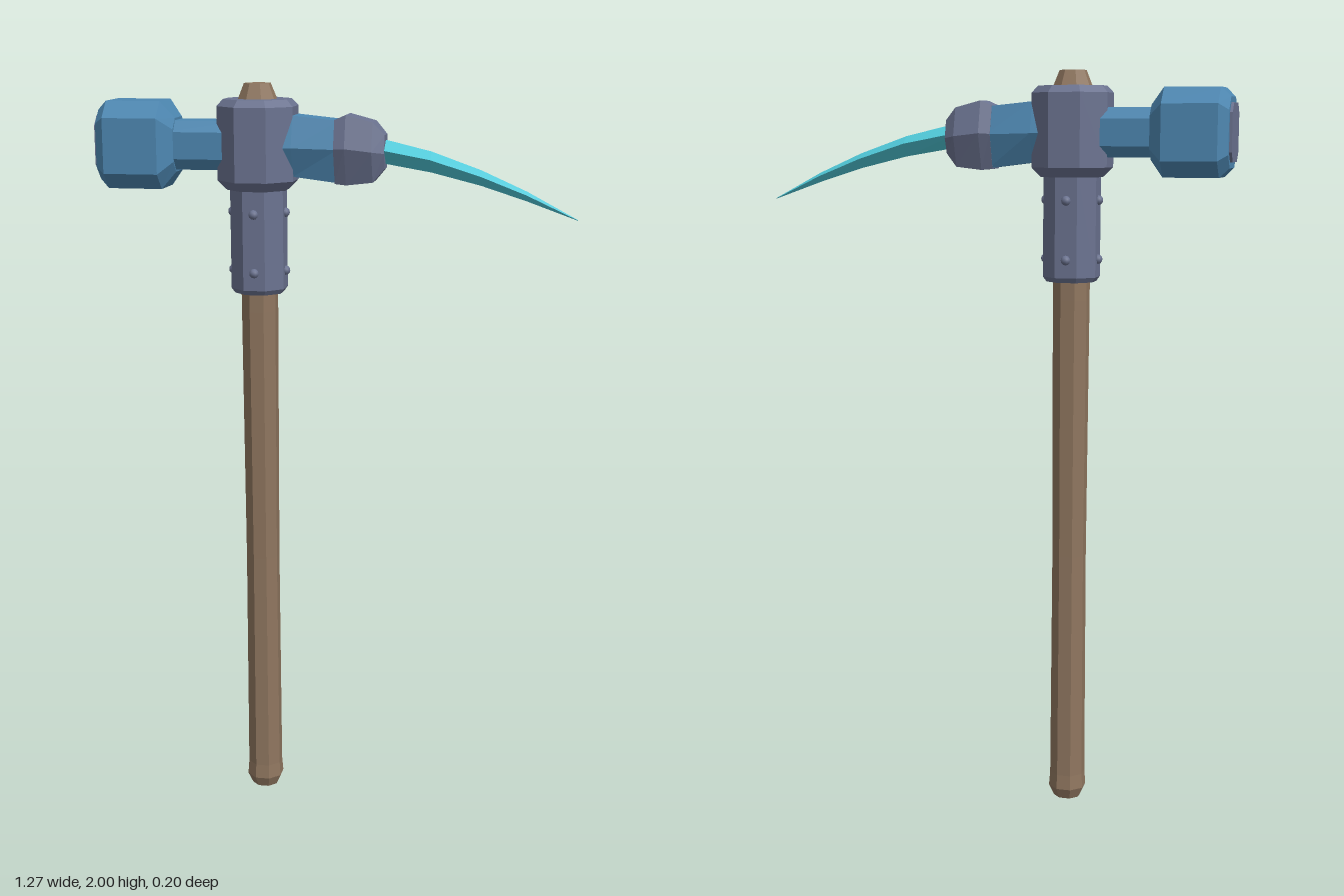
import * as THREE from 'three';

const mat = (name, color) => Object.assign(new THREE.MeshStandardMaterial({ color }), { name });

// Flat-faced solid through rings of [y, z] points placed along x, closed at both ends
function loft(sections) {
  const pos = [];
  const tri = (...pts) => pts.forEach((p) => pos.push(...p));
  const rings = sections.map(([x, ring]) => ring.map(([y, z]) => [x, y, z]));
  const n = rings[0].length;
  for (let i = 0; i + 1 < rings.length; i++) {
    const a = rings[i], b = rings[i + 1];
    for (let j = 0; j < n; j++) {
      const k = (j + 1) % n;
      tri(a[j], a[k], b[j]);
      tri(a[k], b[k], b[j]);
    }
  }
  const first = rings[0], last = rings[rings.length - 1];
  for (let j = 1; j + 1 < n; j++) {
    tri(first[0], first[j + 1], first[j]);
    tri(last[0], last[j], last[j + 1]);
  }
  const g = new THREE.BufferGeometry();
  g.setAttribute('position', new THREE.Float32BufferAttribute(pos, 3));
  g.computeVertexNormals();
  return g;
}

// Octagon with half sizes hy, hz and half flats fy, fz
const oct = (hy, hz, fy = hy * 0.414, fz = hz * 0.414, cy = 0) =>
  [[hy, -fz], [hy, fz], [fy, hz], [-fy, hz], [-hy, fz], [-hy, -fz], [-fy, -hz], [fy, -hz]]
    .map(([y, z]) => [y + cy, z]);

// Hexagon: flat top and bottom, widest at the middle
const hex = (top, mid, bot, zt, zm, zb) =>
  [[top, -zt], [top, zt], [mid, zm], [bot, zb], [bot, -zb], [mid, -zm]];

// Upright octagonal column from [y, radius] pairs
const column = (profile) =>
  loft(profile.map(([y, r]) => [y, oct(r, r)])).rotateZ(Math.PI / 2);

export function createModel() {
  const wood = mat('wood', 0x8f765f);
  const slate = mat('slate metal', 0x6b7390);
  const blue = mat('blue steel', 0x4d87b1);
  const cyan = mat('cyan blade', 0x4fc8d8);

  const model = new THREE.Group();
  model.name = 'warHammer';
  const add = (name, geometry, material, parent = model) => {
    const mesh = new THREE.Mesh(geometry, material);
    mesh.name = name;
    parent.add(mesh);
    return mesh;
  };

  // Shaft, sleeve and socket share one axis
  const shaft = new THREE.Group();
  shaft.name = 'shaft';
  shaft.position.x = -0.21;
  model.add(shaft);
  add('handle', column([[0, 0.035], [0.03, 0.048], [0.07, 0.045], [0.7, 0.043],
    [1.4, 0.046], [1.96, 0.048], [2, 0.033]]), wood, shaft);
  add('sleeve', column([[1.45, 0.062], [1.463, 0.071], [1.75, 0.071]]), slate, shaft);
  add('socket', column([[1.725, 0.078], [1.75, 0.101], [1.942, 0.101], [1.96, 0.085]]), slate, shaft);

  // Rivets on four sides of the sleeve
  const rivet = new THREE.IcosahedronGeometry(0.013, 1);
  for (const y of [1.51, 1.665]) {
    for (let i = 0; i < 4; i++) {
      const a = (i * Math.PI) / 2;
      add('rivet', rivet, slate, shaft).position.set(Math.cos(a) * 0.071, y, Math.sin(a) * 0.071);
    }
  }

  // Hammer side
  const cy = 1.84;
  const neck = oct(0.064, 0.058, 0.035, 0.036, cy);
  add('hammerNeck', loft([[-0.45, neck], [-0.25, neck]]), blue);
  const wide = oct(0.114, 0.1, 0.072, 0.056, cy);
  add('hammerHead', loft([
    [-0.63, oct(0.09, 0.078, 0.056, 0.044, cy)],
    [-0.605, wide], [-0.46, wide],
    [-0.425, oct(0.07, 0.062, 0.042, 0.036, cy)],
  ]), blue);
  const face = oct(0.075, 0.064, 0.05, 0.04, cy);
  add('strikingFace', loft([[-0.637, face], [-0.628, face]]), slate);

  // Pick side: arm, band and curved spike
  add('pickArm', loft([
    [-0.21, hex(1.92, 1.838, 1.765, 0.04, 0.066, 0.036)],
    [-0.11, hex(1.92, 1.838, 1.762, 0.04, 0.065, 0.034)],
    [0.01, hex(1.908, 1.835, 1.747, 0.037, 0.057, 0.03)],
  ]), blue);
  add('pickBand', loft([
    [0, hex(1.91, 1.836, 1.745, 0.038, 0.059, 0.031)],
    [0.03, hex(1.923, 1.838, 1.742, 0.042, 0.066, 0.033)],
    [0.1, hex(1.905, 1.83, 1.75, 0.038, 0.06, 0.031)],
    [0.13, hex(1.872, 1.825, 1.785, 0.025, 0.038, 0.02)],
  ]), slate);
  // Spike stations: x, top, side, bottom, half width
  const spike = [
    [0.09, 1.868, 1.84, 1.803, 0.038],
    [0.25, 1.83, 1.81, 1.776, 0.029],
    [0.38, 1.784, 1.769, 1.744, 0.02],
    [0.5, 1.731, 1.722, 1.706, 0.011],
    [0.632, 1.661, 1.66, 1.659, 0.001],
  ];
  add('spike', loft(spike.map(([x, t, s, b, w]) => [x, [[t, 0], [s, w], [b, 0], [s, -w]]])), cyan);

  return model;
}
